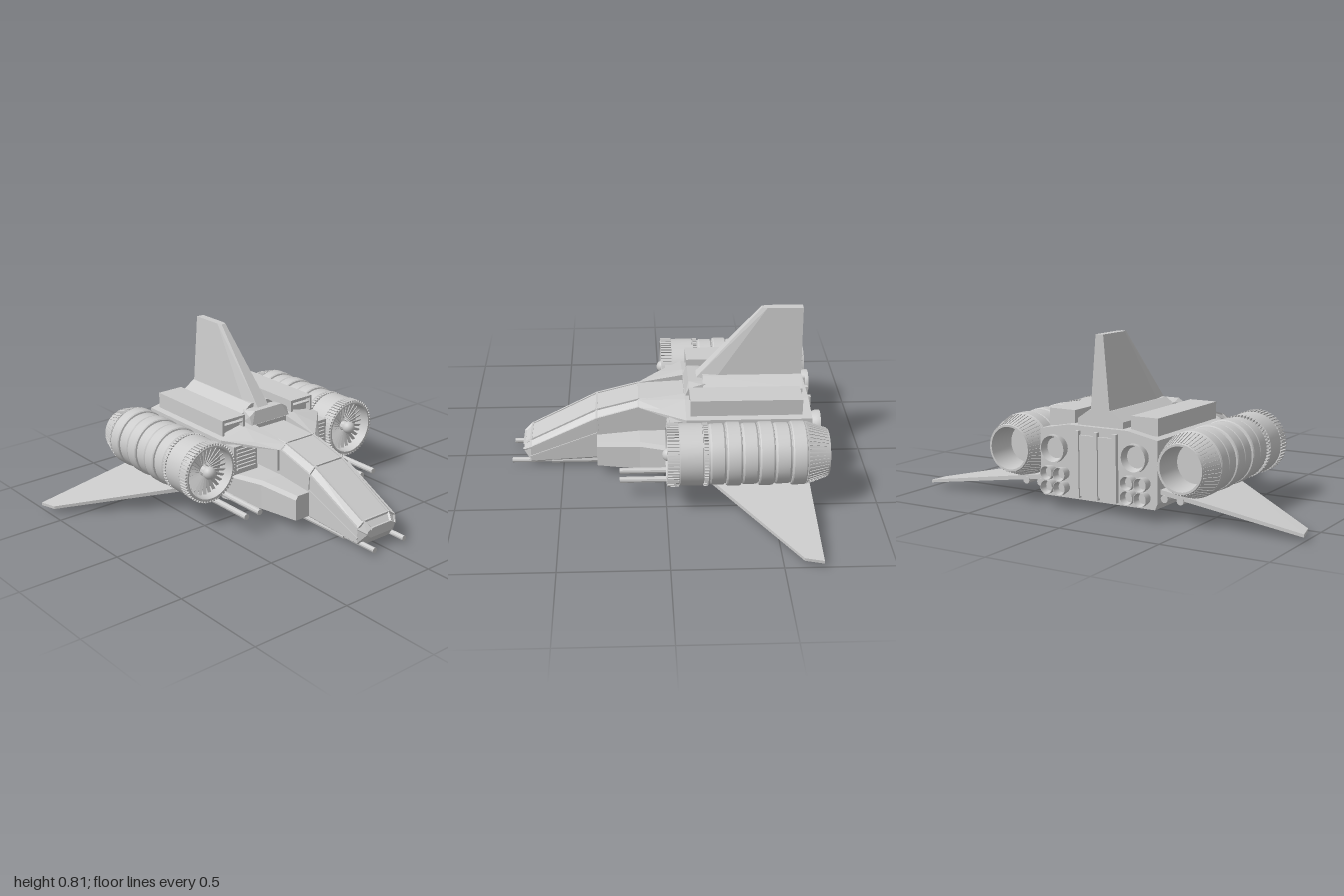
import * as THREE from 'three';
import { mergeGeometries, toCreasedNormals } from 'three/addons/utils/BufferGeometryUtils.js';
import { ConvexGeometry } from 'three/addons/geometries/ConvexGeometry.js';

const flat = new THREE.MeshStandardMaterial({ color: 0xcccccc, flatShading: true });
const smooth = new THREE.MeshStandardMaterial({ color: 0xcccccc, side: THREE.DoubleSide });

function add(parent, name, geo, mat = flat) {
  const m = new THREE.Mesh(geo, mat);
  m.name = name;
  parent.add(m);
  return m;
}

// Convex solid from corner points
const hull = (parent, name, pts) =>
  add(parent, name, new ConvexGeometry(pts.map(p => new THREE.Vector3(...p))));

// Convex solid whose corners are mirrored across z = 0
const symHull = (parent, name, pts) =>
  hull(parent, name, pts.flatMap(([x, y, z]) => [[x, y, z], [x, y, -z]]));

// Box given by its limits
function box(parent, name, x0, x1, y0, y1, z0, z1) {
  const g = new THREE.BoxGeometry(x1 - x0, y1 - y0, z1 - z0);
  g.translate((x0 + x1) / 2, (y0 + y1) / 2, (z0 + z1) / 2);
  return add(parent, name, g);
}

// Round bar along x
function rod(parent, name, x0, x1, y, z, r) {
  const g = new THREE.CylinderGeometry(r, r, x1 - x0, 10).rotateZ(-Math.PI / 2);
  g.translate((x0 + x1) / 2, y, z);
  return add(parent, name, g);
}

// Square strip between two points
function strip(a, b, w) {
  const A = new THREE.Vector3(...a), B = new THREE.Vector3(...b), d = B.clone().sub(A);
  const g = new THREE.BoxGeometry(w, d.length() + w * 0.5, w);
  g.applyQuaternion(new THREE.Quaternion().setFromUnitVectors(new THREE.Vector3(0, 1, 0), d.normalize()));
  const c = A.add(B).multiplyScalar(0.5);
  return g.translate(c.x, c.y, c.z);
}

// Profile of [radius, x] pairs revolved around the x axis
function revolve(profile, n = 40) {
  const g = new THREE.LatheGeometry(profile.map(p => new THREE.Vector2(...p)), n);
  return toCreasedNormals(g.rotateZ(-Math.PI / 2), 0.5);
}

// Boxes repeated around the x axis
function radial(n, make) {
  return mergeGeometries(Array.from({ length: n }, (_, i) => make().rotateX(i * 2 * Math.PI / n)));
}

function buildEngine() {
  const e = new THREE.Group();
  e.name = 'engine';
  const profile = [[0, -0.62], [0.09, -0.62], [0.1, -0.755], [0.11, -0.755], [0.145, -0.65]];
  // alternating bands with grooves between them
  for (let i = 0; i < 6; i++) {
    const x = -0.65 + i * 0.0755, r = i % 2 ? 0.143 : 0.149;
    profile.push([0.137, x + 0.002], [r - 0.004, x + 0.004], [r, x + 0.01], [r, x + 0.066], [r - 0.004, x + 0.072], [0.137, x + 0.074]);
  }
  profile.push([0.137, -0.167], [0.146, -0.165], [0.146, -0.06], [0.142, -0.058], [0.142, -0.004],
    [0.138, 0], [0.13, 0], [0.125, -0.09], [0, -0.09]);
  add(e, 'engineShell', revolve(profile), smooth);
  // fine ribs on the collars and the nozzle
  add(e, 'frontRibs', radial(56, () => new THREE.BoxGeometry(0.054, 0.012, 0.008).translate(-0.029, 0.144, 0)));
  add(e, 'collarRibs', radial(56, () => new THREE.BoxGeometry(0.02, 0.012, 0.008).translate(-0.181, 0.142, 0)));
  add(e, 'nozzleRibs', radial(48, () => strip([-0.745, 0.113, 0], [-0.655, 0.144, 0], 0.006)));
  // fan
  add(e, 'fanBlades', radial(28, () =>
    new THREE.BoxGeometry(0.004, 0.1, 0.016).rotateY(0.6).translate(-0.055, 0.078, 0)));
  add(e, 'spinner', new THREE.SphereGeometry(0.032, 18, 12).translate(-0.012, 0, 0), smooth);
  rod(e, 'fanShaft', -0.09, -0.02, 0, 0, 0.025);
  return e;
}

function buildThruster(r) {
  return revolve([[0, -0.015], [r * 0.75, -0.015], [r * 0.92, -0.05], [r, -0.05], [r, -0.03], [r * 0.8, 0.005]], 24);
}

// Parts that appear on both sides, modelled at +z; s flips them
function buildSide(s) {
  const g = new THREE.Group();
  g.name = s > 0 ? 'leftSide' : 'rightSide';
  const P = pts => pts.map(([x, y, z]) => [x, y, z * s]);
  const B = (name, x0, x1, y0, y1, z0, z1) => {
    const m = box(g, name, x0, x1, y0, y1, z0, z1);
    if (s < 0) m.geometry.translate(0, 0, -(z0 + z1));
    return m;
  };

  const engine = buildEngine();
  engine.position.set(0, 0.26, 0.455 * s);
  g.add(engine);
  B('enginePylon', -0.6, -0.2, 0.2, 0.31, 0.29, 0.34);

  // drooping swept wing
  const edge = [[-0.675, 0.3, 0.13], [-0.1, 0.3, 0.13], [-0.59, 0.98, 0.029], [-0.675, 1, 0.026]];
  hull(g, 'wing', P(edge.flatMap(([x, z, y], i) => {
    const t = i < 2 ? 0.011 : 0.007;
    return [[x, y + t, z], [x, y - t, z]];
  })));

  // cheek tapering forward under the intake
  const cheek = [[-0.1, 0.315, 0.2], [0.12, 0.245, 0.2], [0.33, 0.205, 0.18]];
  for (let i = 0; i < 2; i++)
    hull(g, 'cheek', P([cheek[i], cheek[i + 1]].flatMap(([x, z, y]) =>
      [[x, 0.055, z], [x, y, z - 0.012], [x, y - 0.02, z], [x, 0.055, 0.09], [x, y, 0.09]])));

  // roof sloping from the hull to the canopy
  hull(g, 'shoulderRoof', P([[-0.1, 0.39, 0.1], [-0.1, 0.39, 0.16], [-0.1, 0.362, 0.315], [-0.1, 0.34, 0.315],
    [0.02, 0.362, 0.2], [0.02, 0.34, 0.2], [0.13, 0.355, 0.09], [0.13, 0.33, 0.12], [-0.1, 0.34, 0.1]]));

  // intake grille
  B('intakeFrame', -0.1, -0.02, 0.2, 0.345, 0.155, 0.3);
  for (let i = 0; i < 6; i++)
    B('intakeSlat', -0.03, -0.01, 0.222 + i * 0.02, 0.23 + i * 0.02, 0.17, 0.285);
  B('intakeSide', 0.02, 0.11, 0.22, 0.33, 0.11, 0.135);

  // long pod on the hull roof, hollow at the front
  B('roofPod', -0.655, -0.15, 0.37, 0.45, 0.15, 0.29);
  B('podTop', -0.16, -0.12, 0.438, 0.45, 0.15, 0.29);
  B('podSide', -0.16, -0.12, 0.37, 0.45, 0.15, 0.162);
  B('podSide', -0.16, -0.12, 0.37, 0.45, 0.278, 0.29);
  B('podSlat', -0.16, -0.125, 0.412, 0.42, 0.15, 0.29);

  // rear thrusters
  const nozzles = [[0.28, 0.215, 0.065], [0.165, 0.18, 0.033], [0.165, 0.25, 0.033], [0.1, 0.18, 0.033], [0.1, 0.25, 0.033]];
  for (const [y, z, r] of nozzles)
    add(g, 'thruster', buildThruster(r), smooth).position.set(-0.7, y, z * s);

  // guns below the wing
  for (const z of [0.335, 0.415]) {
    rod(g, 'wingGun', -0.2, 0.22, 0.1, z * s, 0.015);
    rod(g, 'wingGunHousing', -0.68, -0.2, 0.1, z * s, 0.018);
  }
  B('gunMount', -0.5, -0.1, 0.095, 0.125, 0.31, 0.43);

  // nose gun with its rounded housing
  add(g, 'noseGunHousing', new THREE.CapsuleGeometry(0.022, 0.39, 6, 14).rotateZ(Math.PI / 2)
    .translate(-0.075, 0.033, 0.09 * s), smooth);
  rod(g, 'noseGun', 0.14, 0.56, 0.028, 0.095 * s, 0.018);
  rod(g, 'noseGunBarrel', 0.55, 0.755, 0.028, 0.095 * s, 0.013);
  return g;
}

export function createModel() {
  const ship = new THREE.Group();
  ship.name = 'spaceship';

  // rear hull block
  symHull(ship, 'hull', [-0.7, -0.1].flatMap(x =>
    [[x, 0.05, 0.3], [x, 0.08, 0.313], [x, 0.36, 0.313], [x, 0.39, 0.16]]));
  box(ship, 'rearPanel', -0.712, -0.69, 0.07, 0.35, -0.1, 0.1);
  for (const z of [-0.1, 0, 0.1]) box(ship, 'rearRib', -0.72, -0.69, 0.06, 0.37, z - 0.01, z + 0.01);

  // fuselage: x, roof height, shoulder height, roof half width, side half width, floor
  const stations = [
    [-0.12, 0.37, 0.335, 0.085, 0.122, 0.05], [0.12, 0.358, 0.33, 0.085, 0.122, 0.045],
    [0.33, 0.303, 0.27, 0.085, 0.122, 0.035], [0.66, 0.135, 0.11, 0.08, 0.118, 0.015],
    [0.695, 0.105, 0.09, 0.062, 0.09, 0.06]];
  symHull(ship, 'fuselage', stations.flatMap(([x, t, sh, a, b, f]) =>
    [[x, t, a], [x, sh, b], [x, f + 0.02, b], [x, f, b - 0.025]]));

  // canopy frame along the fuselage edges
  const frame = [];
  for (const s of [-1, 1]) {
    const roof = stations.map(([x, t, , a]) => [x, t, a * s]);
    const side = stations.map(([x, , sh, , b]) => [x, sh, b * s]);
    for (let i = 1; i < 4; i++) {
      frame.push(strip(roof[i], roof[i + 1], 0.01), strip(side[i], side[i + 1], 0.01), strip(roof[i], side[i], 0.01));
    }
    frame.push(strip(side[2], [0.325, 0.19, 0.122 * s], 0.01),
      strip([0.325, 0.19, 0.122 * s], [0.66, 0.06, 0.118 * s], 0.01));
  }
  for (const [x, t, , a] of stations.slice(1)) frame.push(strip([x, t, -a], [x, t, a], 0.01));
  add(ship, 'canopyFrame', mergeGeometries(frame));

  // keel plate under the belly
  box(ship, 'keelPlate', -0.09, 0.32, 0, 0.05, -0.075, 0.075);

  // fin with its stepped base
  symHull(ship, 'finBase', [[-0.675, -0.19]].flatMap(xs => xs.flatMap(x =>
    [[x, 0.38, 0.12], [x, 0.42, 0.12], [x, 0.465, 0.055]])));
  symHull(ship, 'finFairing', [[-0.3, 0.38, 0.05], [-0.3, 0.43, 0.05], [-0.19, 0.38, 0.115], [-0.19, 0.44, 0.1],
    [-0.12, 0.452, 0.085], [-0.12, 0.43, 0.12], [-0.1, 0.38, 0.12]]);
  symHull(ship, 'fin', [[-0.675, 0.44, 0.052], [-0.25, 0.44, 0.052], [-0.155, 0.44, 0.035],
    [-0.675, 0.805, 0.02], [-0.5, 0.805, 0.02], [-0.475, 0.805, 0.012]]);

  ship.add(buildSide(1), buildSide(-1));
  return ship;
}
